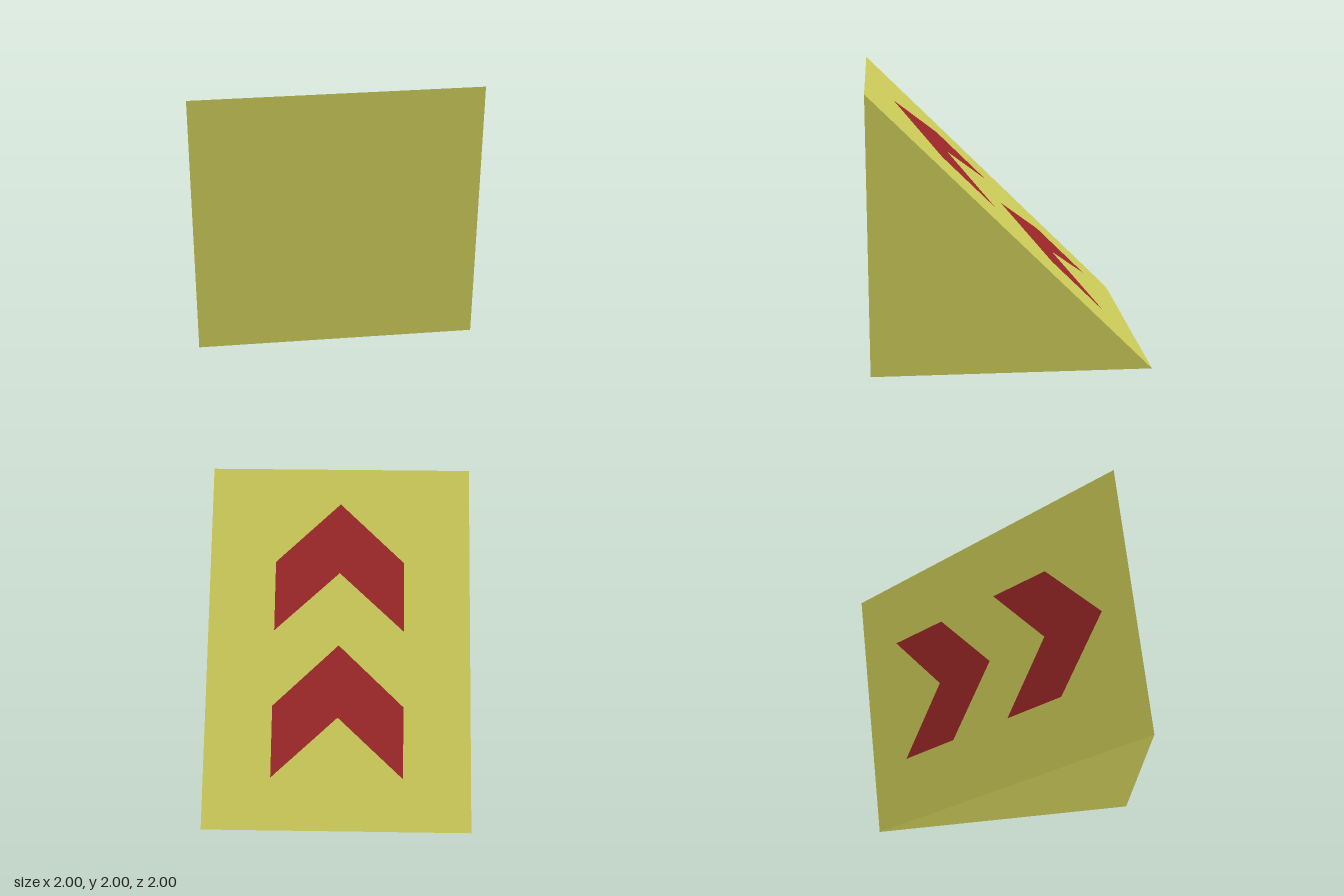
import * as THREE from 'three';

const yellow = new THREE.MeshStandardMaterial({ color: 0xc6c556 });
yellow.name = 'yellow';
const red = new THREE.MeshStandardMaterial({ color: 0x982527 });
red.name = 'red';

const shapeOf = (points) => new THREE.Shape(points.map(([x, y]) => new THREE.Vector2(x, y)));

// Triangular prism: upright face at the front, slope falling to the back
function makeRamp() {
  const profile = shapeOf([[-1, 0], [1, 0], [-1, 2]]);
  const geometry = new THREE.ExtrudeGeometry(profile, { depth: 2, bevelEnabled: false });
  geometry.rotateY(Math.PI / 2).translate(-1, 0, 0);
  const ramp = new THREE.Mesh(geometry, yellow);
  ramp.name = 'ramp';
  return ramp;
}

// Painted arrow pointing up the slope, its tip at z = tip
function makeChevron(tip) {
  const w = 0.495;
  const outline = shapeOf([[0, 0], [w, 0.335], [w, 0.72], [0, 0.395], [-w, 0.72], [-w, 0.335]]);
  const geometry = new THREE.ShapeGeometry(outline).rotateX(-Math.PI / 2).translate(0, 0, tip);
  // Lift each corner to just above the slope y = z + 1
  const pos = geometry.attributes.position;
  for (let i = 0; i < pos.count; i++) pos.setY(i, pos.getZ(i) + 1.004);
  geometry.computeVertexNormals();
  return new THREE.Mesh(geometry, red);
}

export function createModel() {
  const model = new THREE.Group();
  model.name = 'arrowRamp';
  model.add(makeRamp());
  [['lowerChevron', -0.005], ['upperChevron', 0.795]].forEach(([name, tip]) => {
    const chevron = makeChevron(tip);
    chevron.name = name;
    model.add(chevron);
  });
  return model;
}
